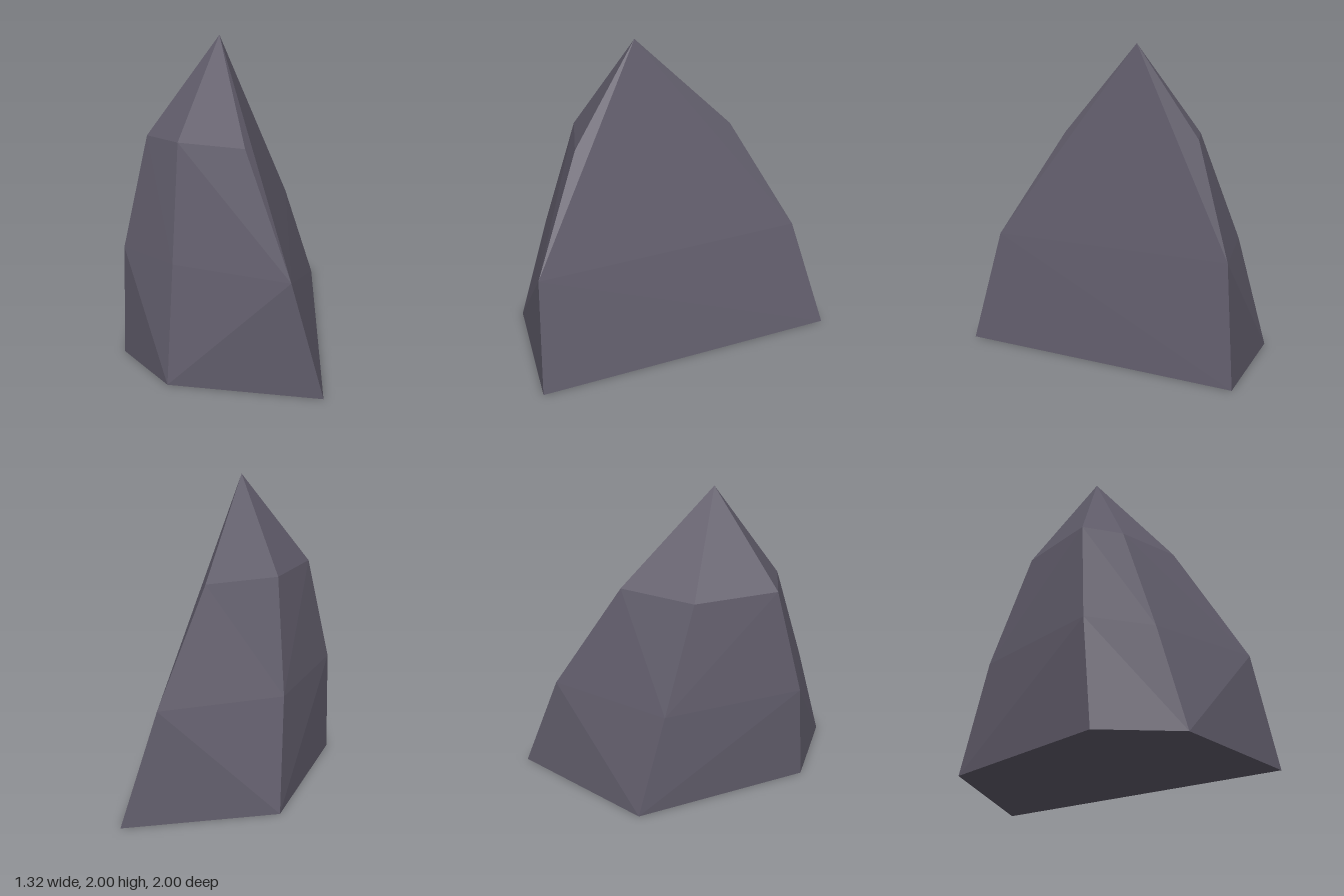
import * as THREE from 'three';
import { ConvexGeometry } from 'three/addons/geometries/ConvexGeometry.js';

export function createModel() {
  const group = new THREE.Group();
  group.name = 'rock';

  const stone = new THREE.MeshStandardMaterial({ color: 0x5e5a68 });
  stone.name = 'slate stone';
  stone.flatShading = true;

  // Five-sided rings narrowing towards the peak: height and [x, z] corners
  const rings = [
    { y: 0, corners: [[0.4, -1], [0.655, 1], [-0.29, 0.97], [-0.66, 0.57], [-0.51, -0.6]] },
    { y: 0.7, corners: [[0.21, -0.82], [0.45, 0.955], [-0.29, 0.77], [-0.655, 0.52], [-0.49, -0.39]] },
    { y: 1.4, corners: [[0, -0.43], [0.13, 0.63], [-0.295, 0.545], [-0.52, 0.4], [-0.4, -0.13]] },
    { y: 2, corners: [[-0.1, 0.18]] },
  ];
  const points = rings.flatMap(({ y, corners }) => corners.map(([x, z]) => new THREE.Vector3(x, y, z)));

  // Faceted boulder wrapped around the rings
  const boulder = new THREE.Mesh(new ConvexGeometry(points), stone);
  boulder.name = 'boulder';
  group.add(boulder);
  return group;
}
